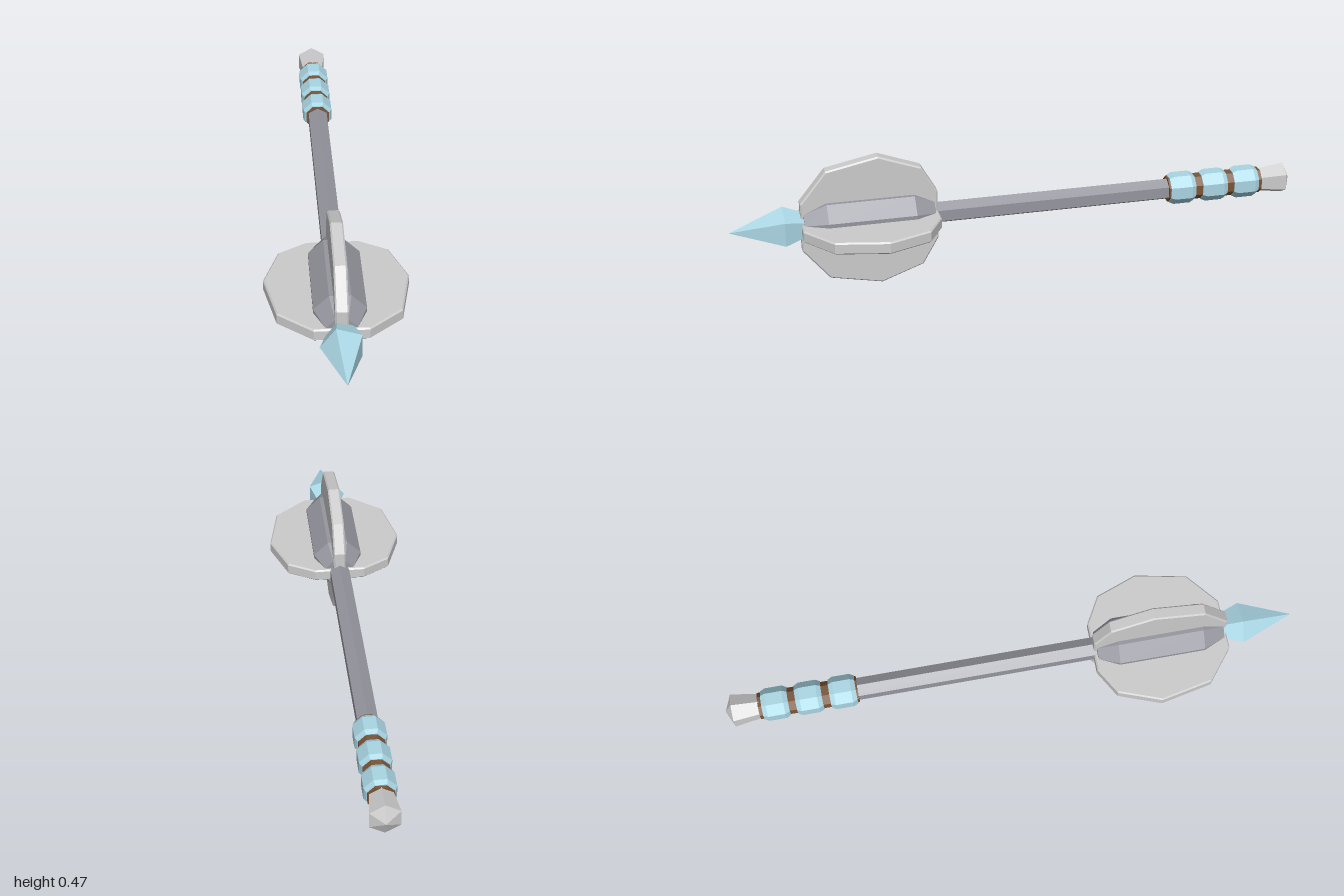
import * as THREE from 'three';

const mat = (color) => new THREE.MeshStandardMaterial({ color, flatShading: true });

// Faceted solid around the z axis from [z, radius] pairs, ordered by rising z
function turned(name, profile, sides, start, material) {
  const points = profile.map(([z, r]) => new THREE.Vector2(r, z));
  const geometry = new THREE.LatheGeometry(points, sides, start);
  geometry.rotateX(Math.PI / 2);
  const mesh = new THREE.Mesh(geometry, material);
  mesh.name = name;
  return mesh;
}

export function createModel() {
  const steel = mat(0xcccccc);
  const darkSteel = mat(0x96979f);
  const blue = mat(0xaad6e4);
  const brown = mat(0x7a5538);
  const oct = Math.PI / 8;

  const mace = new THREE.Group();
  mace.name = 'mace';

  // Hexagonal shaft and octagonal head core
  mace.add(turned('shaft', [[-0.9, 0], [-0.9, 0.039], [0.4, 0.039], [0.4, 0]], 6, 0, darkSteel));
  mace.add(turned('headCore',
    [[0.3, 0], [0.3, 0.055], [0.37, 0.092], [0.67, 0.092], [0.748, 0.055], [0.748, 0]], 8, oct, darkSteel));

  // Five-sided spike at the front
  mace.add(turned('spike', [[0.72, 0], [0.72, 0.035], [0.815, 0.073], [1, 0]], 5, -Math.PI / 2, blue));

  // Four chamfered flanges around the head
  const outline = [[0.288, 0], [0.288, 0.088], [0.342, 0.183], [0.488, 0.237],
    [0.668, 0.2], [0.758, 0.088], [0.758, 0]];
  const bevel = 0.005;
  const thickness = 0.043;
  const flangeGeometry = new THREE.ExtrudeGeometry(
    new THREE.Shape(outline.map(([z, r]) => new THREE.Vector2(z, r))),
    { depth: thickness - 2 * bevel, bevelThickness: bevel, bevelSize: bevel, bevelOffset: -bevel, bevelSegments: 1 });
  flangeGeometry.translate(0, 0, bevel - thickness / 2);
  flangeGeometry.rotateY(-Math.PI / 2);
  for (let i = 0; i < 4; i++) {
    const flange = new THREE.Mesh(flangeGeometry, steel);
    flange.name = `flange${i + 1}`;
    flange.rotation.z = i * Math.PI / 2;
    mace.add(flange);
  }

  // Leather grip with three bulging wraps
  mace.add(turned('grip', [[-0.885, 0], [-0.885, 0.046], [-0.54, 0.046], [-0.54, 0]], 8, oct, brown));
  [-0.592, -0.71, -0.827].forEach((z, i) => {
    mace.add(turned(`wrap${i + 1}`, [[z - 0.046, 0.044], [z - 0.046, 0.049], [z - 0.03, 0.057],
      [z + 0.03, 0.057], [z + 0.046, 0.049], [z + 0.046, 0.044]], 8, oct, blue));
  });

  // Flared hexagonal pommel with a low point
  mace.add(turned('pommel', [[-1, 0], [-0.975, 0.057], [-0.88, 0.043], [-0.88, 0]], 6, 0, steel));

  mace.position.y = 0.237;
  const model = new THREE.Group();
  model.add(mace);
  return model;
}
